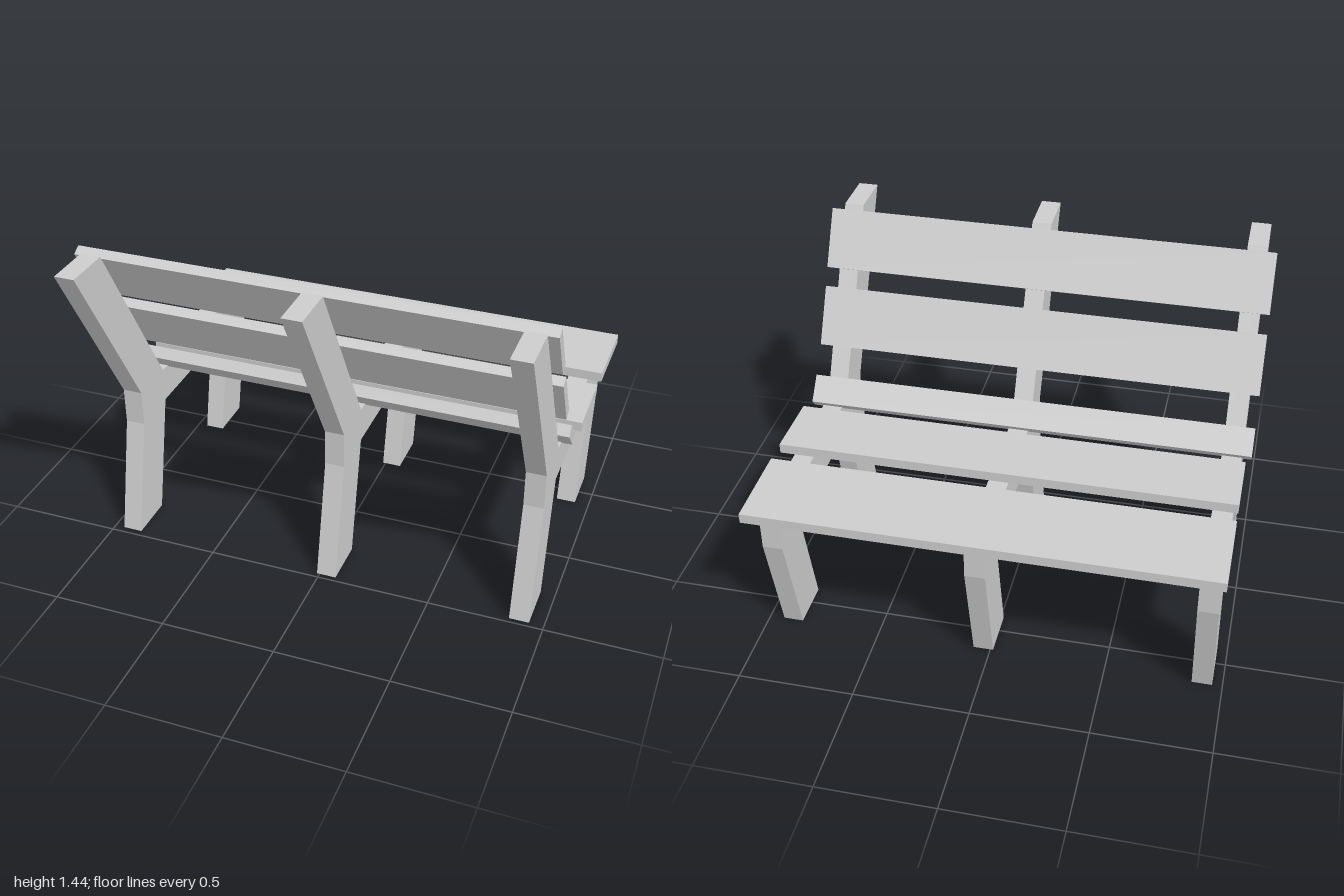
import * as THREE from 'three';

// Side profile given as [z, y] corners, extruded along x from x0 to x1
function extrudeProfile(name, corners, x0, x1, material) {
  const shape = new THREE.Shape(corners.map(([z, y]) => new THREE.Vector2(-z, y)));
  const geometry = new THREE.ExtrudeGeometry(shape, { depth: x1 - x0, bevelEnabled: false });
  geometry.rotateY(Math.PI / 2);
  geometry.translate(x0, 0, 0);
  const mesh = new THREE.Mesh(geometry, material);
  mesh.name = name;
  return mesh;
}

export function createModel() {
  const bench = new THREE.Group();
  bench.name = 'bench';
  const grey = new THREE.MeshStandardMaterial({ color: 0xcccccc });
  grey.name = 'light grey';

  // Support frames: splayed legs, seat rail and leaning back post in one piece
  const frameProfile = [
    [0.79, 1.44], [0.58, 1.44], [0.15, 0.67], [-0.74, 0.67], [-0.74, 0.51], [-0.622, 0],
    [-0.414, 0], [-0.533, 0.515], [0.15, 0.515], [0.268, 0], [0.477, 0], [0.36, 0.51], [0.36, 0.672],
  ];
  const frames = [['rightFrame', -0.957, -0.007], ['middleFrame', -0.012, 0], ['leftFrame', 0.85, 0]];
  for (const [name, x, z] of frames) {
    const frame = extrudeProfile(name, frameProfile, x, x + 0.086, grey);
    frame.position.z = z;
    bench.add(frame);
  }

  // Planks of the backrest and seat, each slightly tilted
  const planks = [
    ['upperBackPlank', -1, 0.975, [[0.554, 1.421], [0.516, 1.443], [0.385, 1.214], [0.423, 1.191]]],
    ['lowerBackPlank', -1, 0.975, [[0.385, 1.115], [0.347, 1.138], [0.216, 0.908], [0.254, 0.885]]],
    ['lumbarPlank', -1, 0.98, [[0.173, 0.749], [0.142, 0.79], [0.06, 0.697], [0.09, 0.66]]],
    ['rearSeatPlank', -0.978, 0.998, [[-0.004, 0.713], [-0.313, 0.72], [-0.313, 0.677], [-0.004, 0.67]]],
    ['frontSeatPlank', -0.978, 0.998, [[-0.414, 0.719], [-0.791, 0.711], [-0.791, 0.668], [-0.414, 0.676]]],
  ];
  for (const [name, x0, x1, corners] of planks) {
    bench.add(extrudeProfile(name, corners, x0, x1, grey));
  }
  return bench;
}
